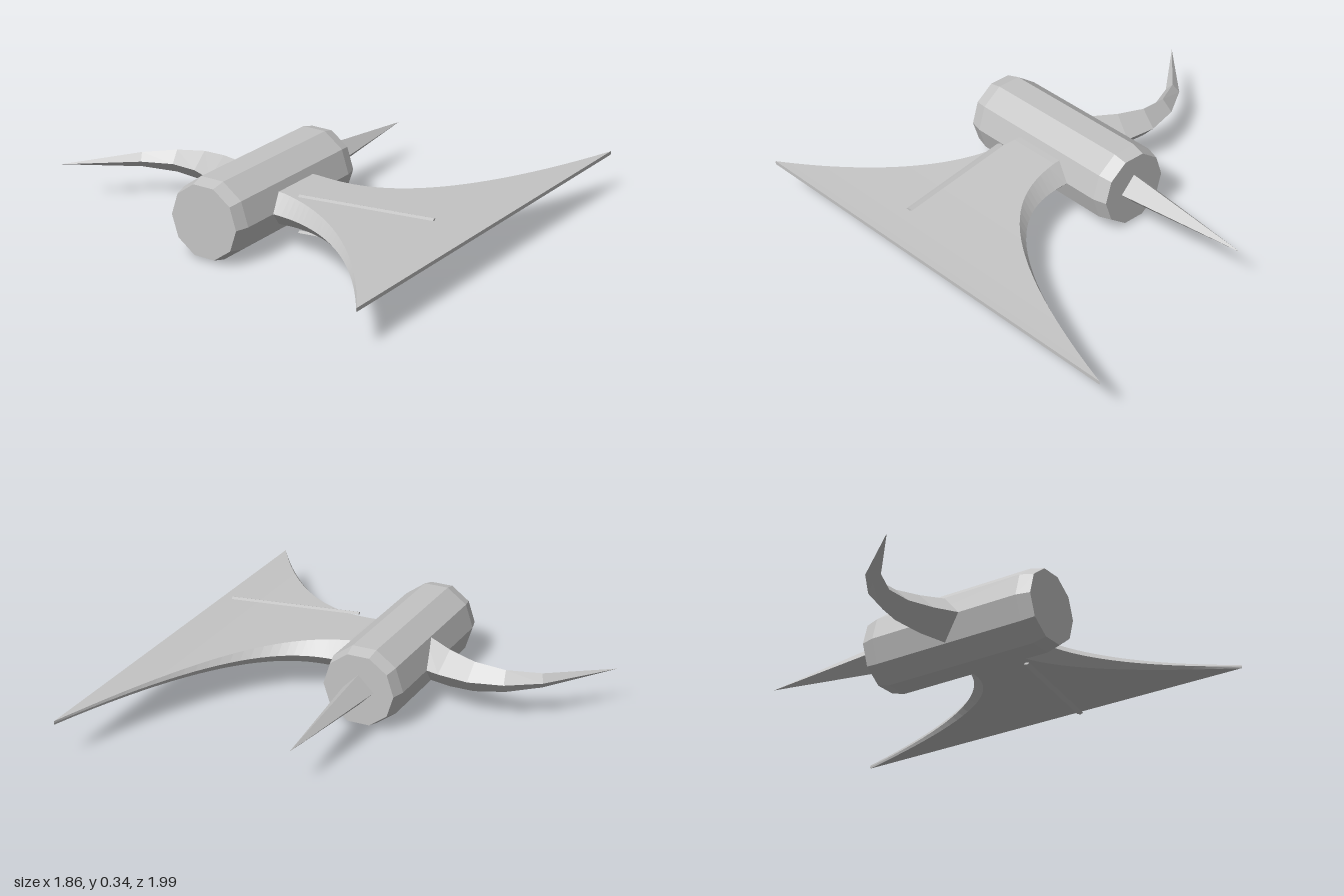
import * as THREE from 'three';

const AXIS_X = -0.035, AXIS_Y = 0.172;

// Skin through closed rings that run along +x; each ring goes top, front, bottom, back
function loft(rings) {
  const pos = [];
  const tri = (...pts) => pts.forEach((p) => pos.push(...p));
  const n = rings[0].length;
  for (let r = 0; r < rings.length - 1; r++) {
    const a = rings[r], b = rings[r + 1];
    for (let i = 0; i < n; i++) {
      const j = (i + 1) % n;
      tri(a[i], a[j], b[j]);
      tri(a[i], b[j], b[i]);
    }
  }
  const first = rings[0], last = rings[rings.length - 1];
  for (let i = 1; i < n - 1; i++) {
    tri(first[0], first[i + 1], first[i]);
    tri(last[0], last[i], last[i + 1]);
  }
  const g = new THREE.BufferGeometry();
  g.setAttribute('position', new THREE.Float32BufferAttribute(pos, 3));
  g.computeVertexNormals();
  return g;
}

export function createModel() {
  const model = new THREE.Group();
  const steel = new THREE.MeshStandardMaterial({ color: 0xc4c4c4, flatShading: true });
  steel.name = 'steel grey';
  const add = (name, geometry) => {
    const mesh = new THREE.Mesh(geometry, steel);
    mesh.name = name;
    model.add(mesh);
    return mesh;
  };

  // Ten-sided socket with chamfered ends, lying along z
  const profile = [[0, -0.19], [0.161, -0.19], [0.177, -0.13], [0.177, 0.585], [0.161, 0.645], [0, 0.645]]
    .map(([r, z]) => new THREE.Vector2(r, z));
  const socket = new THREE.LatheGeometry(profile, 10);
  socket.rotateY(Math.PI / 2).rotateX(Math.PI / 2);
  add('socket', socket).position.set(AXIS_X, AXIS_Y, 0);

  // Four-sided spike at the back
  const spike = new THREE.ConeGeometry(0.071, 0.62, 4);
  spike.rotateX(-Math.PI / 2);
  add('backSpike', spike).position.set(AXIS_X, AXIS_Y, -0.49);

  // Flared blade: flat cheeks with bevelled front and back edges
  const bladeRings = [];
  const STEPS = 28;
  for (let k = 0; k <= STEPS; k++) {
    const x = 0.09 + (0.84 * k) / STEPS;
    const t = Math.max(0, (x - 0.14) / 0.79);
    const h = 0.008 + 0.062 * Math.pow(1 - t, 1.35);
    const bevel = 0.003 + 0.067 * (1 - t);
    const back = 0.03 - 1.025 * Math.pow(t, 2.5);
    const front = 0.415 + 0.58 * Math.pow(t, 2);
    bladeRings.push([
      [x, AXIS_Y + h, back + bevel], [x, AXIS_Y + h, front - bevel], [x, AXIS_Y, front],
      [x, AXIS_Y - h, front - bevel], [x, AXIS_Y - h, back + bevel], [x, AXIS_Y, back],
    ]);
  }
  add('blade', loft(bladeRings));

  // Curved horn with a diamond section: back edge x, z then front edge x, z
  const hornRings = [
    [-0.93, 0.475, -0.93, 0.475], [-0.70, 0.20, -0.67, 0.255], [-0.56, 0.11, -0.54, 0.20],
    [-0.41, 0.072, -0.42, 0.205], [-0.27, 0.088, -0.307, 0.25], [-0.14, 0.12, -0.14, 0.35],
  ].map(([bx, bz, fx, fz]) => {
    const x = (bx + fx) / 2, z = (bz + fz) / 2;
    const h = (0.1 * (x + 0.93)) / 0.75;
    return [[x, AXIS_Y + h, z], [fx, AXIS_Y, fz], [x, AXIS_Y - h, z], [bx, AXIS_Y, bz]];
  });
  add('horn', loft(hornRings));

  // Slim diamond rods above and below the blade
  for (const side of [1, -1]) {
    const rod = new THREE.CylinderGeometry(1, 1, 0.586, 4);
    rod.rotateZ(-Math.PI / 2).scale(1, 0.006, 0.014);
    const mesh = add(side > 0 ? 'upperRod' : 'lowerRod', rod);
    mesh.position.set(0.515, AXIS_Y + side * 0.078, 0.303);
    mesh.rotation.y = 0.163;
  }
  return model;
}
